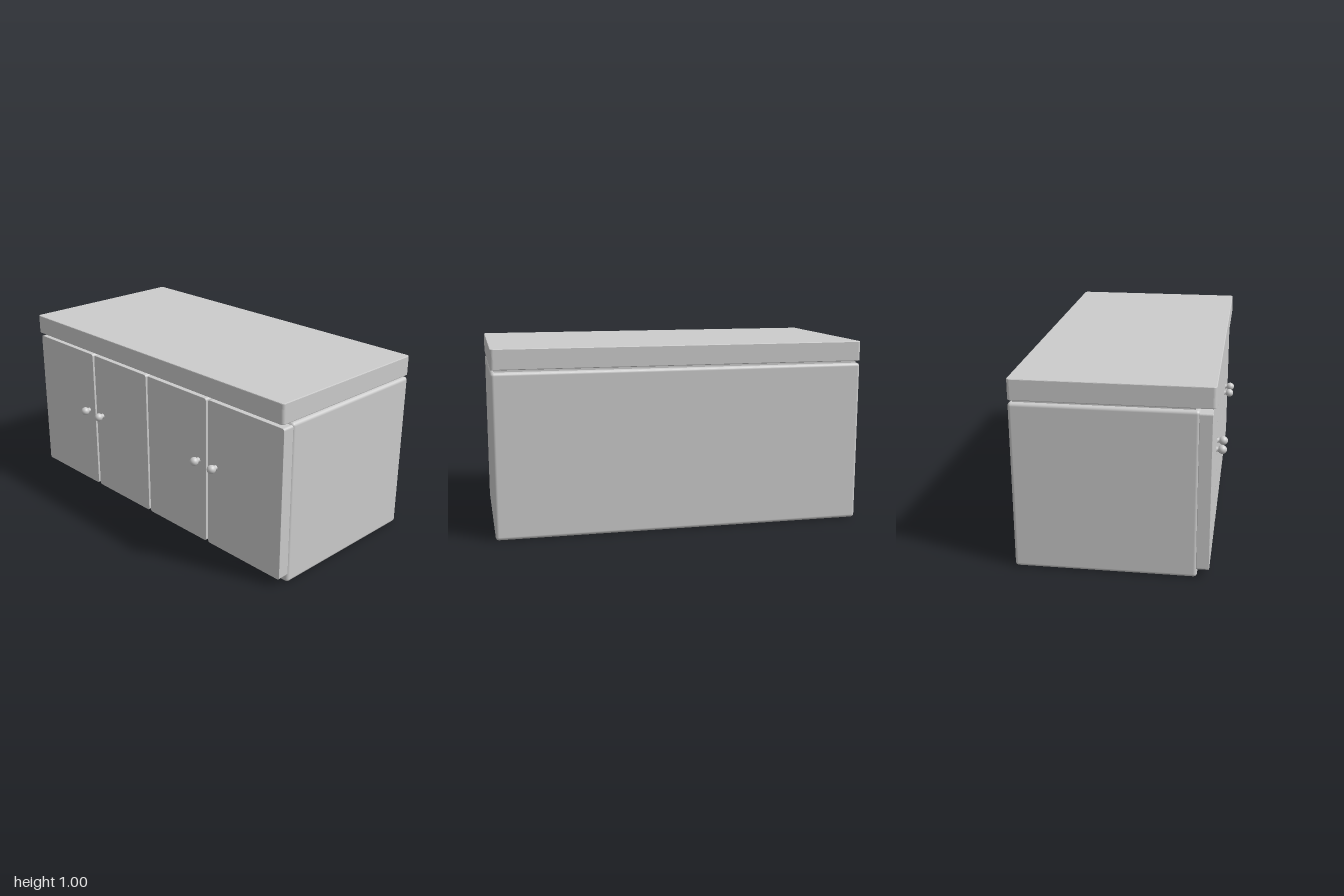
import * as THREE from 'three';
import { RoundedBoxGeometry } from 'three/addons/geometries/RoundedBoxGeometry.js';

const material = new THREE.MeshStandardMaterial({ color: 0xcccccc });

function addMesh(parent, name, geometry, x, y, z) {
  const mesh = new THREE.Mesh(geometry, material);
  mesh.name = name;
  mesh.position.set(x, y, z);
  parent.add(mesh);
  return mesh;
}

// Flat panel with rounded corners, centred in x and y, with z from 0 to depth
function panel(width, height, depth, radius, bevel) {
  const w = width / 2, h = height / 2, r = radius;
  const shape = new THREE.Shape();
  shape.moveTo(-w + r, -h);
  shape.absarc(w - r, -h + r, r, -Math.PI / 2, 0);
  shape.absarc(w - r, h - r, r, 0, Math.PI / 2);
  shape.absarc(-w + r, h - r, r, Math.PI / 2, Math.PI);
  shape.absarc(-w + r, -h + r, r, Math.PI, Math.PI * 1.5);
  return new THREE.ExtrudeGeometry(shape, {
    depth: depth - 2 * bevel,
    bevelThickness: bevel,
    bevelSize: bevel,
    bevelOffset: -bevel,
    bevelSegments: 2,
    curveSegments: 6,
  }).translate(0, 0, bevel);
}

// Turned knob: flared neck and round head
function knobGeometry() {
  const points = [new THREE.Vector2(0.015, 0), new THREE.Vector2(0.012, 0.006)];
  const radius = 0.024, centre = 0.031;
  for (let i = 0; i <= 14; i++) {
    const a = THREE.MathUtils.lerp(-0.95, Math.PI / 2, i / 14);
    points.push(new THREE.Vector2(Math.max(0, radius * Math.cos(a)), centre + radius * Math.sin(a)));
  }
  return new THREE.LatheGeometry(points, 24).rotateX(Math.PI / 2);
}

export function createModel() {
  const model = new THREE.Group();
  model.name = 'sideboard';

  // Carcass, recessed neck and overhanging worktop
  addMesh(model, 'cabinetBody', new RoundedBoxGeometry(2, 0.878, 0.925, 4, 0.018), 0, 0.441, -0.0575);
  addMesh(model, 'recessedNeck', new THREE.BoxGeometry(1.96, 0.05, 0.88), 0, 0.885, -0.058);
  const top = addMesh(model, 'worktop', panel(2, 1, 0.108, 0.018, 0.004), 0, 0.892, -0.02);
  top.rotation.x = -Math.PI / 2;

  // Mirrored pairs of doors, each with a knob beside the shared gap
  const knob = knobGeometry();
  const doors = [
    { name: 'outerDoor', from: 0.483, to: 0.997, knobX: 0.54 },
    { name: 'innerDoor', from: 0.007, to: 0.467, knobX: 0.41 },
  ];
  for (const side of [-1, 1]) {
    for (const { name, from, to, knobX } of doors) {
      const group = new THREE.Group();
      group.name = (side > 0 ? 'left ' : 'right ') + name;
      addMesh(group, 'doorPanel', panel(to - from, 0.825, 0.065, 0.012, 0.002), side * (from + to) / 2, 0.457, 0.4);
      addMesh(group, 'doorKnob', knob, side * knobX, 0.51, 0.465);
      model.add(group);
    }
  }
  return model;
}
